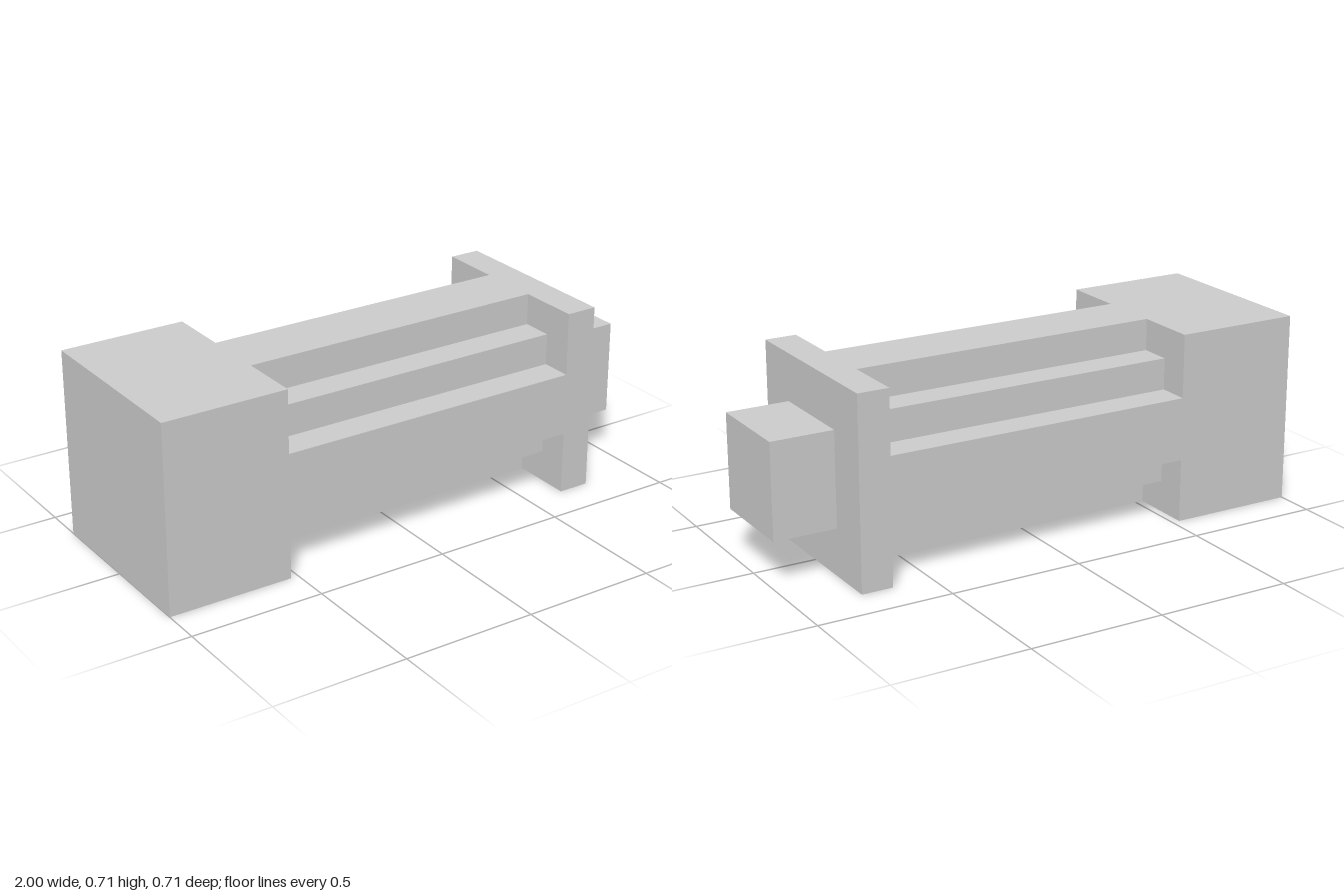
import * as THREE from 'three';

// The whole part sits on a grid of 17 units along its length
const U = 2 / 17;
const material = new THREE.MeshStandardMaterial({ color: 0xcccccc, flatShading: true });

export function createModel() {
  const group = new THREE.Group();

  const add = (name, geometry, x) => {
    const mesh = new THREE.Mesh(geometry, material);
    mesh.name = name;
    mesh.position.set(x, 3 * U, 0);
    group.add(mesh);
  };

  // Square block along x, from unit start to unit end
  const block = (name, start, end, size) =>
    add(name, new THREE.BoxGeometry((end - start) * U, size * U, size * U), -1 + (start + end) / 2 * U);

  block('headBlock', 0, 4, 6);
  block('collar', 14, 15, 6);
  block('endPeg', 15, 17, 3);

  // Shaft: stepped cross section, one quarter turned around the axis
  const quarter = [[3, -1], [3, 1], [2, 1], [2, 2], [1, 2]];
  const points = [];
  for (let i = 0; i < 4; i++) {
    for (const [a, b] of quarter) {
      points.push(new THREE.Vector2(a * U, b * U).rotateAround(new THREE.Vector2(), i * Math.PI / 2));
    }
  }
  const shaft = new THREE.ExtrudeGeometry(new THREE.Shape(points), { depth: 10 * U, bevelEnabled: false });
  shaft.rotateY(Math.PI / 2);
  add('steppedShaft', shaft, -1 + 4 * U);

  return group;
}
